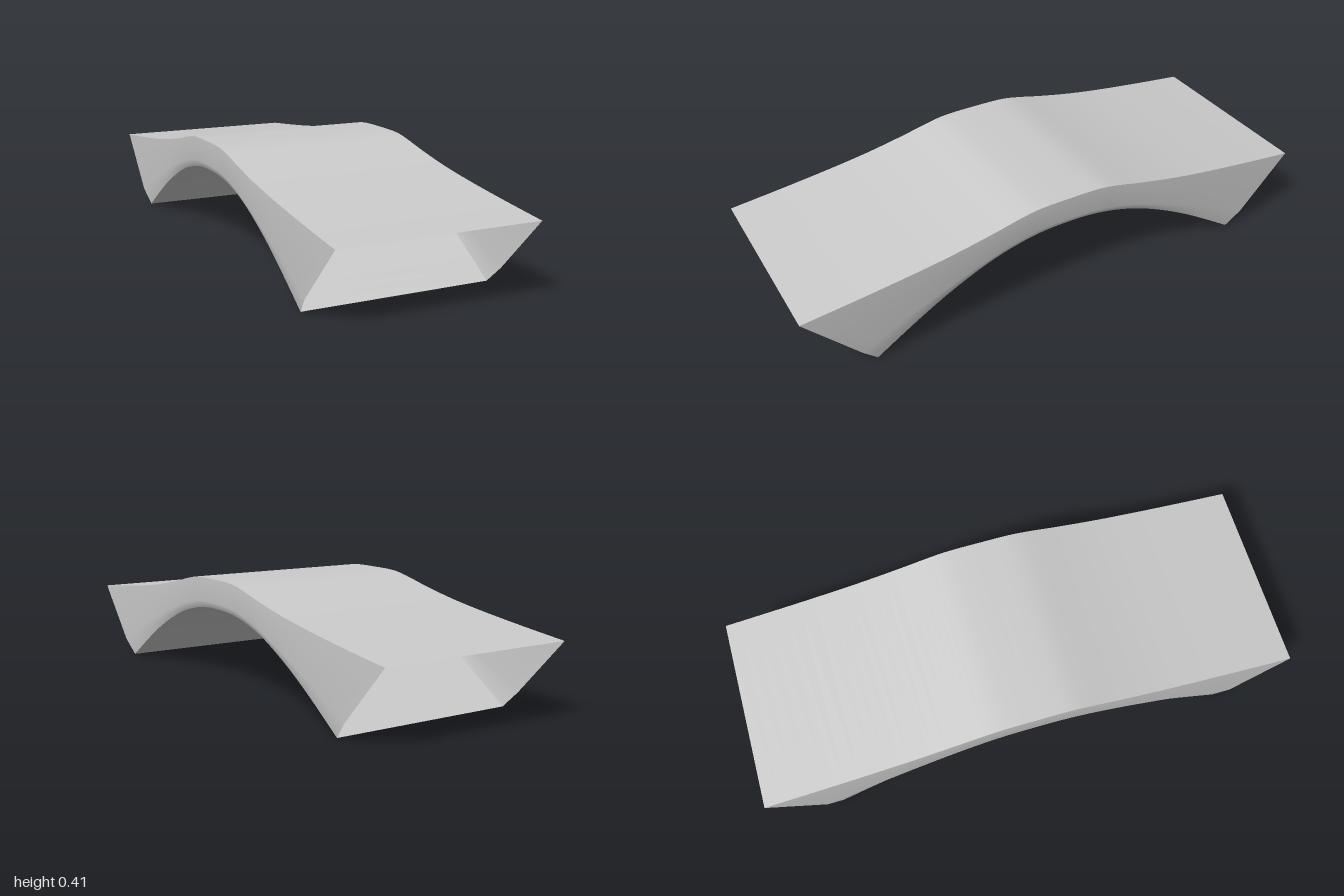
import * as THREE from 'three';

const WIDE = 0.361, NARROW = 0.347, BEVEL = 0.22, STEPS = 48;

// Mirror a half profile of [z, y] points about z = 0 into one smooth curve
function profile(half) {
  const mirrored = half.slice(0, -1).reverse().map(([z, y]) => [-z, y]);
  return new THREE.CatmullRomCurve3(
    [...half, ...mirrored].map(([z, y]) => new THREE.Vector3(0, y, z)), false, 'centripetal');
}

const upper = profile([[1, 0.268], [0.8, 0.29], [0.6, 0.315], [0.45, 0.338], [0.3, 0.368], [0.2, 0.391], [0.13, 0.403], [0, 0.406]]);
const lower = profile([[0.75, 0], [0.6, 0.095], [0.5, 0.153], [0.4, 0.203], [0.3, 0.245], [0.2, 0.274], [0.1, 0.291], [0, 0.295]]);

// Bend a grid into a surface: place(u, v) gives the point, u x v faces outward
function sheet(name, cols, place, material) {
  const geometry = new THREE.PlaneGeometry(1, 1, cols, STEPS);
  const pos = geometry.attributes.position, uv = geometry.attributes.uv;
  for (let i = 0; i < pos.count; i++) {
    const p = place(uv.getX(i), uv.getY(i));
    pos.setXYZ(i, p.x, p.y, p.z);
  }
  geometry.computeVertexNormals();
  const mesh = new THREE.Mesh(geometry, material);
  mesh.name = name;
  return mesh;
}

export function createModel() {
  const group = new THREE.Group();
  group.name = 'archedBridge';
  const material = new THREE.MeshStandardMaterial({ color: 0xcccccc, side: THREE.DoubleSide });

  // Deck on top and curved underside; both ends stay open
  group.add(sheet('deck', 1, (u, v) => upper.getPoint(v).setX((2 * u - 1) * WIDE), material));
  group.add(sheet('underside', 1, (u, v) => lower.getPoint(v).setX((1 - 2 * u) * NARROW), material));

  // Side walls: upright, with the lowest part slanting in to the underside
  for (const side of [1, -1]) {
    const wall = (u, v) => {
      const t = side > 0 ? 1 - v : v;
      const k = [0, BEVEL, 1][Math.round(u * 2)];
      return lower.getPoint(t).lerp(upper.getPoint(t), k).setX(side * (k === 0 ? NARROW : WIDE));
    };
    group.add(sheet(side > 0 ? 'leftWall' : 'rightWall', 2, wall, material));
  }
  return group;
}
